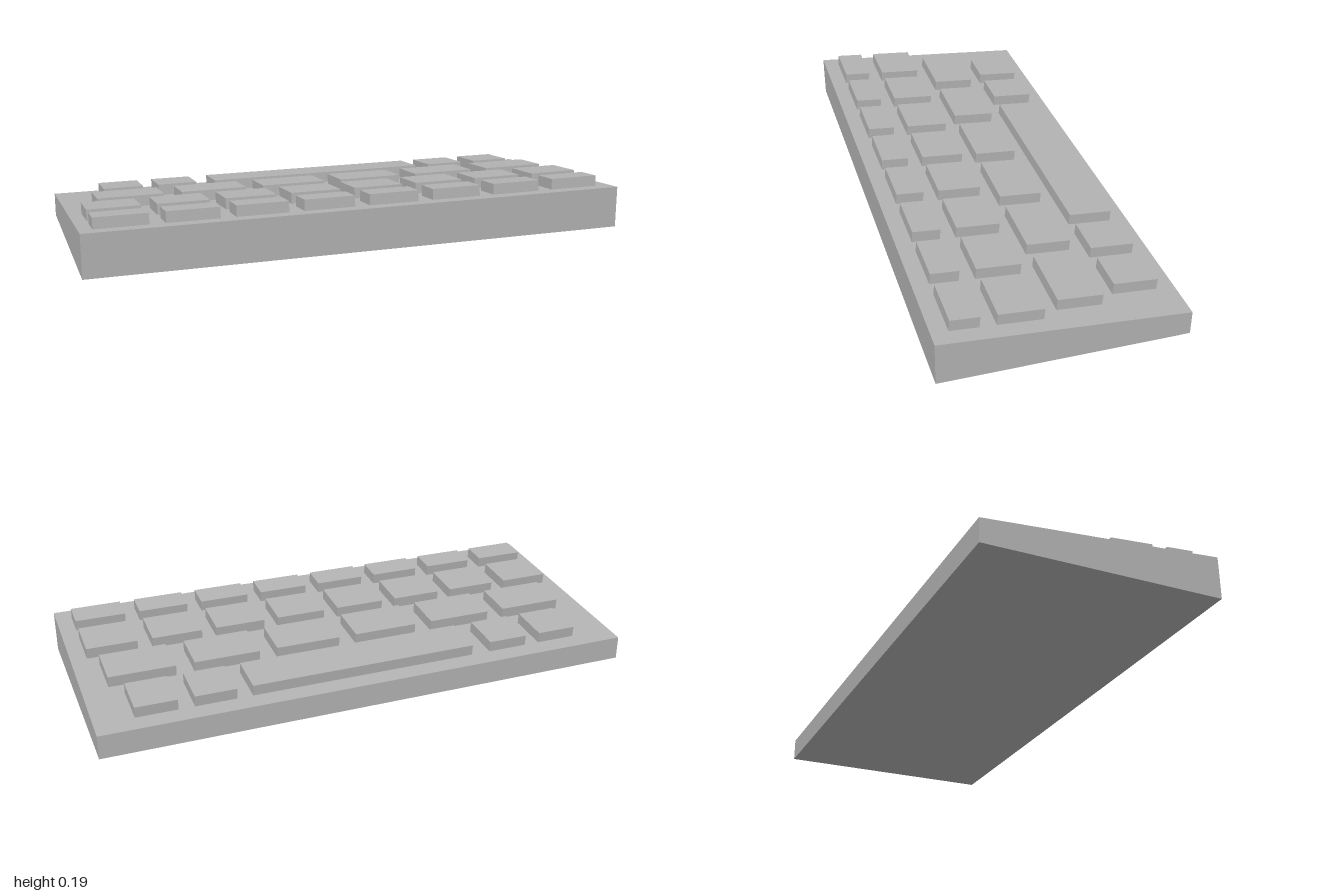
import * as THREE from 'three';

const FRONT_H = 0.155, BACK_H = 0.087, HALF_D = 0.43, KEY_H = 0.04;

export function createModel() {
  const model = new THREE.Group();
  model.name = 'keyboard';
  const grey = new THREE.MeshStandardMaterial({ color: 0xb4b4b4 });
  grey.name = 'grey';

  // Wedge-shaped case: side profile drawn in (z, y), extruded along x
  const profile = new THREE.Shape([
    new THREE.Vector2(-HALF_D, 0),
    new THREE.Vector2(HALF_D, 0),
    new THREE.Vector2(HALF_D, FRONT_H),
    new THREE.Vector2(-HALF_D, BACK_H),
  ]);
  const caseGeometry = new THREE.ExtrudeGeometry(profile, { depth: 2, bevelEnabled: false });
  caseGeometry.rotateY(-Math.PI / 2).translate(1, 0, 0);
  const body = new THREE.Mesh(caseGeometry, grey);
  body.name = 'case';
  model.add(body);

  // Keys sit on the sloping top of the case
  const deck = new THREE.Group();
  deck.name = 'keys';
  deck.position.y = (FRONT_H + BACK_H) / 2;
  deck.rotation.x = -Math.atan((FRONT_H - BACK_H) / (2 * HALF_D));
  model.add(deck);

  const evenRow = (count, first, pitch, width) =>
    Array.from({ length: count }, (_, i) => [first + i * pitch, width]);

  // Each row: centre z, depth, and [centre x, width] of every key
  const rows = [
    { name: 'functionKey', z: 0.322, depth: 0.1, keys: evenRow(8, -0.858, 0.2436, 0.188) },
    { name: 'upperKey', z: 0.137, depth: 0.157, keys: evenRow(8, -0.858, 0.2436, 0.188) },
    { name: 'middleKey', z: -0.074, depth: 0.157, keys: evenRow(6, -0.767, 0.3102, 0.243) },
    {
      name: 'bottomKey', z: -0.286, depth: 0.157,
      keys: [[-0.761, 0.15], [-0.553, 0.15], [0.02, 0.85], [0.577, 0.15], [0.785, 0.15]],
    },
  ];
  for (const { name, z, depth, keys } of rows) {
    for (const [x, width] of keys) {
      const key = new THREE.Mesh(new THREE.BoxGeometry(width, KEY_H, depth), grey);
      key.name = width > 0.5 ? 'spaceBar' : name;
      key.position.set(x, KEY_H / 2, z);
      deck.add(key);
    }
  }
  return model;
}
